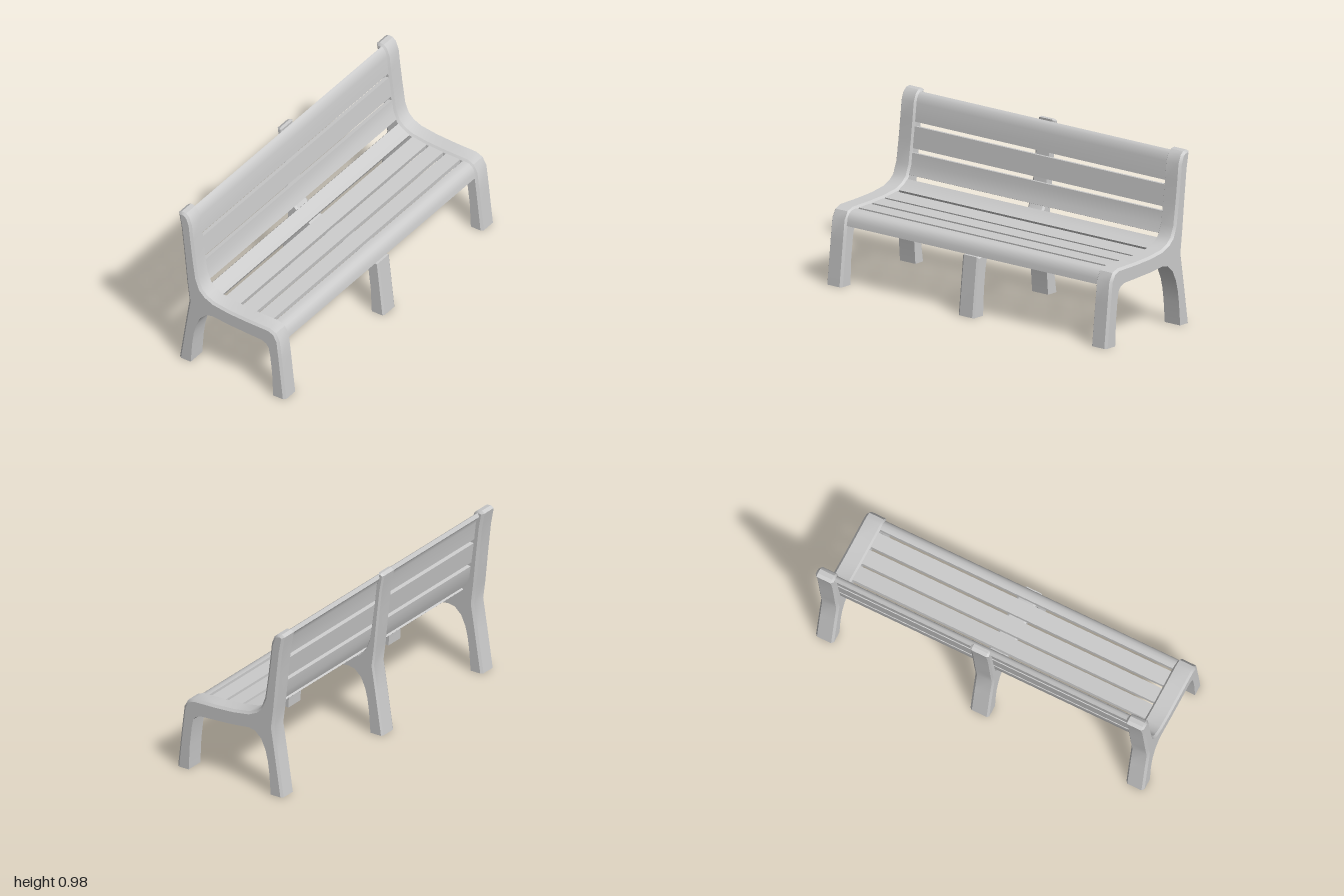
import * as THREE from 'three';
import { toCreasedNormals } from 'three/addons/utils/BufferGeometryUtils.js';

// Side silhouette [x, y]: rear foot, up the back, over the seat, down to the front foot
const REAR = [[-0.348, 0], [-0.31, 0.25], [-0.285, 0.405], [-0.30, 0.52], [-0.318, 0.70],
  [-0.337, 0.87], [-0.355, 0.967], [-0.336, 0.979]];
const CREST = [[-0.308, 0.975], [-0.288, 0.957]];
const SEAT = [[-0.27, 0.91], [-0.26, 0.82], [-0.245, 0.70], [-0.226, 0.57], [-0.202, 0.51],
  [-0.17, 0.48], [-0.12, 0.457], [-0.02, 0.442], [0.10, 0.435], [0.245, 0.432],
  [0.285, 0.415], [0.31, 0.37]];
const FRONT_LEG = [[0.325, 0.25], [0.353, 0]];
// Arch beneath the seat, from the front foot to the rear foot
const ARCH = [[0.275, 0], [0.268, 0.15], [0.255, 0.26], [0.245, 0.31], [0.228, 0.33],
  [0.20, 0.342], [0.10, 0.347], [-0.02, 0.354], [-0.125, 0.366], [-0.165, 0.358],
  [-0.207, 0.32], [-0.235, 0.26], [-0.25, 0.20], [-0.26, 0.13], [-0.27, 0]];

// Mitred offset of an open path towards its right-hand side
function inset(path, d) {
  const normals = path.slice(1).map((p, i) => {
    const dx = p[0] - path[i][0], dy = p[1] - path[i][1], l = Math.hypot(dx, dy);
    return [dy / l, -dx / l];
  });
  return path.map((p, i) => {
    const a = normals[Math.max(i - 1, 0)], b = normals[Math.min(i, normals.length - 1)];
    const k = d / Math.max(1 + a[0] * b[0] + a[1] * b[1], 0.5);
    return [p[0] + (a[0] + b[0]) * k, p[1] + (a[1] + b[1]) * k];
  });
}

// Skin clockwise sections [points, z] along z, with end caps; skip holds open edges
function loft(sections, skip = []) {
  const pos = [];
  const put = (...pts) => pts.forEach(([p, z]) => pos.push(p[0], p[1], z));
  for (let s = 0; s < sections.length - 1; s++) {
    const [p, z0] = sections[s], [q, z1] = sections[s + 1];
    p.forEach((_, i) => {
      if (skip.includes(i)) return;
      const j = (i + 1) % p.length;
      const a = [p[i], z0], b = [p[j], z0], c = [q[j], z1], d = [q[i], z1];
      put(a, d, c, a, c, b);
    });
  }
  [[sections[0], -1], [sections[sections.length - 1], 1]].forEach(([[pts, z], facing]) => {
    const shape = pts.map(p => new THREE.Vector2(p[0], p[1]));
    THREE.ShapeUtils.triangulateShape(shape, []).forEach(t => {
      const [a, b, c] = t.map(i => pts[i]);
      const turn = (b[0] - a[0]) * (c[1] - a[1]) - (b[1] - a[1]) * (c[0] - a[0]);
      if (turn * facing > 0) put([a, z], [b, z], [c, z]);
      else put([a, z], [c, z], [b, z]);
    });
  });
  const g = new THREE.BufferGeometry();
  g.setAttribute('position', new THREE.Float32BufferAttribute(pos, 3));
  return toCreasedNormals(g, 0.5);
}

// Support frame with a chamfered outer edge and open feet
function frameGeometry(outline, bevel, halfWidth) {
  const inner = inset(outline, bevel);
  inner[0][1] = inner[inner.length - 1][1] = 0;
  const full = [...outline, ...ARCH], small = [...inner, ...ARCH];
  const h = halfWidth, c = 0.012;
  return loft([[small, -h], [full, -h + c], [full, h - c], [small, h]],
    [outline.length - 1, full.length - 1]);
}

export function createModel() {
  const group = new THREE.Group();
  const material = new THREE.MeshStandardMaterial({ color: 0xcccccc, side: THREE.DoubleSide });
  const add = (name, geometry, z = 0) => {
    const mesh = new THREE.Mesh(geometry, material);
    mesh.name = name;
    mesh.position.z = z;
    group.add(mesh);
  };

  // End frames
  const endFrame = frameGeometry([...REAR, ...CREST, ...SEAT, ...FRONT_LEG], 0.014, 0.055);
  add('leftEndFrame', endFrame, 0.945);
  add('rightEndFrame', endFrame, -0.945);

  // Middle frame, cut back to sit behind and beneath the slats
  const middle = [...REAR, [-0.318, 0.977], [-0.321, 0.95], ...inset(SEAT, 0.035),
    [0.28, 0.338], [0.315, 0.336], ...FRONT_LEG];
  add('middleFrame', frameGeometry(middle, 0.008, 0.057));

  // Slats follow the silhouette, slightly sunk below it
  const slats = {
    topBackSlat: [[-0.312, 0.976], [-0.30, 0.97], [-0.288, 0.957], [-0.277, 0.935],
      [-0.27, 0.91], [-0.258, 0.805]],
    middleBackSlat: [[-0.255, 0.78], [-0.239, 0.66]],
    lowerBackSlat: [[-0.235, 0.635], [-0.226, 0.57], [-0.206, 0.52]],
    rearSeatSlat: [[-0.197, 0.503], [-0.17, 0.48], [-0.125, 0.4585]],
    seatSlat1: [[-0.11, 0.4555], [-0.015, 0.4415]],
    seatSlat2: [[0, 0.441], [0.092, 0.4355]],
    seatSlat3: [[0.11, 0.4347], [0.203, 0.433]],
    frontSeatSlat: [[0.222, 0.4325], [0.245, 0.432], [0.268, 0.426], [0.288, 0.413],
      [0.302, 0.392], [0.31, 0.37], [0.315, 0.34]],
  };
  for (const [name, path] of Object.entries(slats)) {
    const section = [...inset(path, 0.012), ...inset(path, 0.036).reverse()];
    add(name, loft([[section, -0.91], [section, 0.91]]));
  }
  return group;
}
